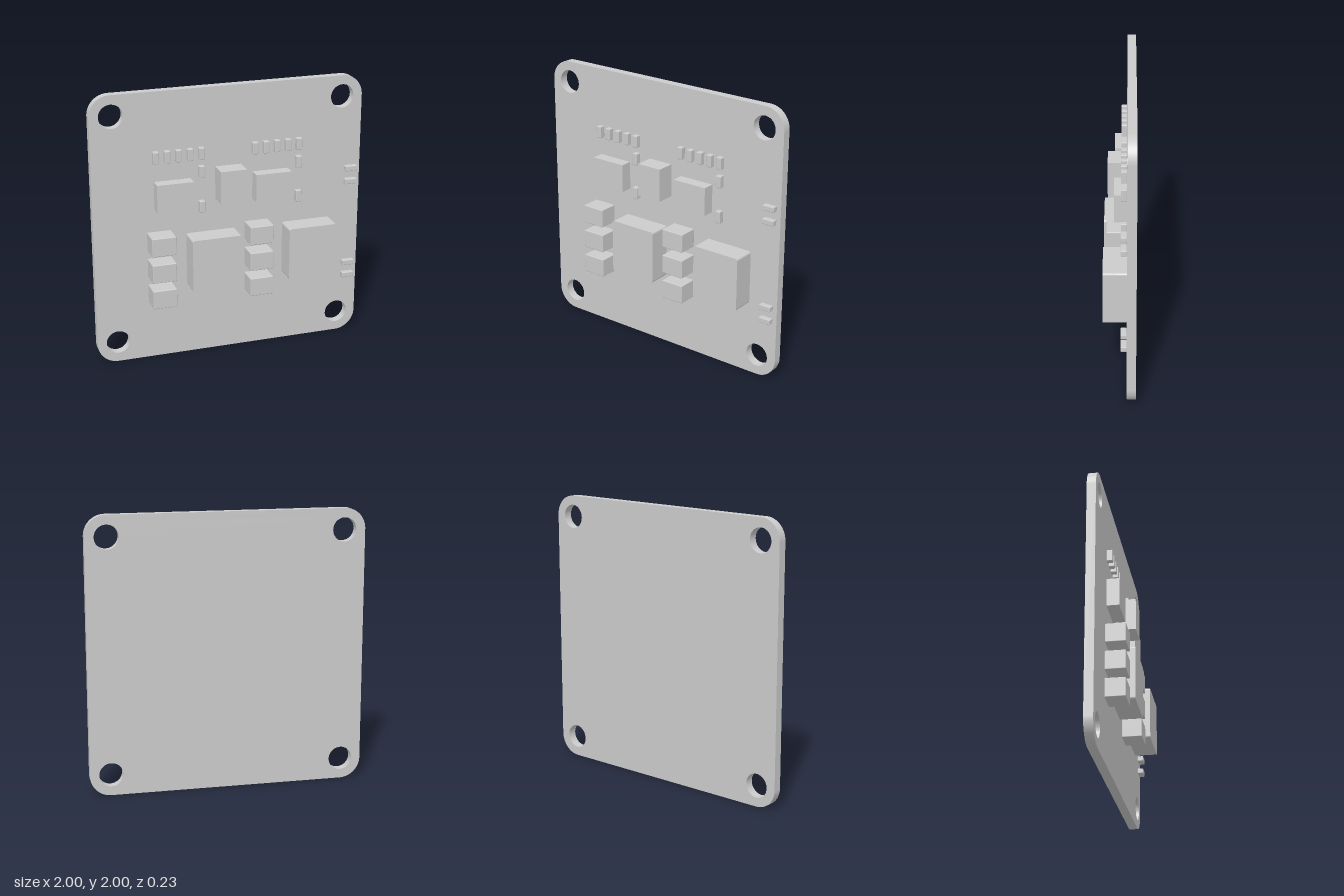
import * as THREE from 'three';
import { RoundedBoxGeometry } from 'three/addons/geometries/RoundedBoxGeometry.js';

const material = new THREE.MeshStandardMaterial({ color: 0xcccccc });
const BACK = -0.114, FACE = -0.05; // board back and front planes
const PITCH = 0.728; // distance between the two repeated circuits

function roundedRect(w, h, r) {
  const x = w / 2, y = h / 2;
  const s = new THREE.Shape();
  s.absarc(x - r, y - r, r, 0, Math.PI / 2);
  s.absarc(r - x, y - r, r, Math.PI / 2, Math.PI);
  s.absarc(r - x, r - y, r, Math.PI, Math.PI * 1.5);
  s.absarc(x - r, r - y, r, Math.PI * 1.5, Math.PI * 2);
  s.closePath();
  return s;
}

export function createModel() {
  const group = new THREE.Group();
  group.name = 'circuitBoard';

  const add = (name, geometry, x, y, z) => {
    const mesh = new THREE.Mesh(geometry, material);
    mesh.name = name;
    mesh.position.set(x, y, z);
    group.add(mesh);
  };
  // block standing on the board face, reaching forward to z = top
  const block = (name, x, y, w, h, top, r = 0) => {
    const d = top - FACE;
    const geometry = r ? new RoundedBoxGeometry(w, h, d, 2, r) : new THREE.BoxGeometry(w, h, d);
    add(name, geometry, x, y, FACE + d / 2);
  };

  // board with rounded corners and four mounting holes
  const outline = roundedRect(2, 2, 0.15);
  for (const x of [-0.848, 0.848])
    for (const y of [-0.848, 0.848])
      outline.holes.push(new THREE.Path().absarc(x, y, 0.086, 0, Math.PI * 2, true));
  add('board', new THREE.ExtrudeGeometry(outline, {
    depth: FACE - BACK, bevelEnabled: false, curveSegments: 24,
  }), 0, 1, BACK);

  // two identical circuits side by side
  const inductor = new THREE.ExtrudeGeometry(roundedRect(0.368, 0.396, 0.016), {
    depth: 0.114 - FACE, bevelEnabled: false, curveSegments: 6,
  });
  for (const dx of [0, PITCH]) {
    add('inductor', inductor, dx - 0.141, 0.738, FACE);
    block('driverChip', dx - 0.423, 1.247, 0.268, 0.206, 0.039);
    for (const y of [0.909, 0.708, 0.509])
      block('largeCapacitor', dx - 0.527, y, 0.176, 0.137, 0.094, 0.005);
    for (let i = 0; i < 5; i++)
      block('smallResistor', dx - 0.546 + i * 0.083, 1.532, 0.041, 0.087, -0.008, 0.005);
    for (const y of [1.398, 1.137])
      block('smallCapacitor', dx - 0.214, y, 0.041, 0.087, -0.008, 0.005);
  }

  // central chip
  block('centralChip', -0.011, 1.297, 0.192, 0.241, 0.086);

  // indicator lights on the edge
  for (const y of [1.305, 1.206, 0.561, 0.462])
    block('indicatorLight', 0.923, y, 0.091, 0.039, -0.008, 0.005);

  return group;
}
